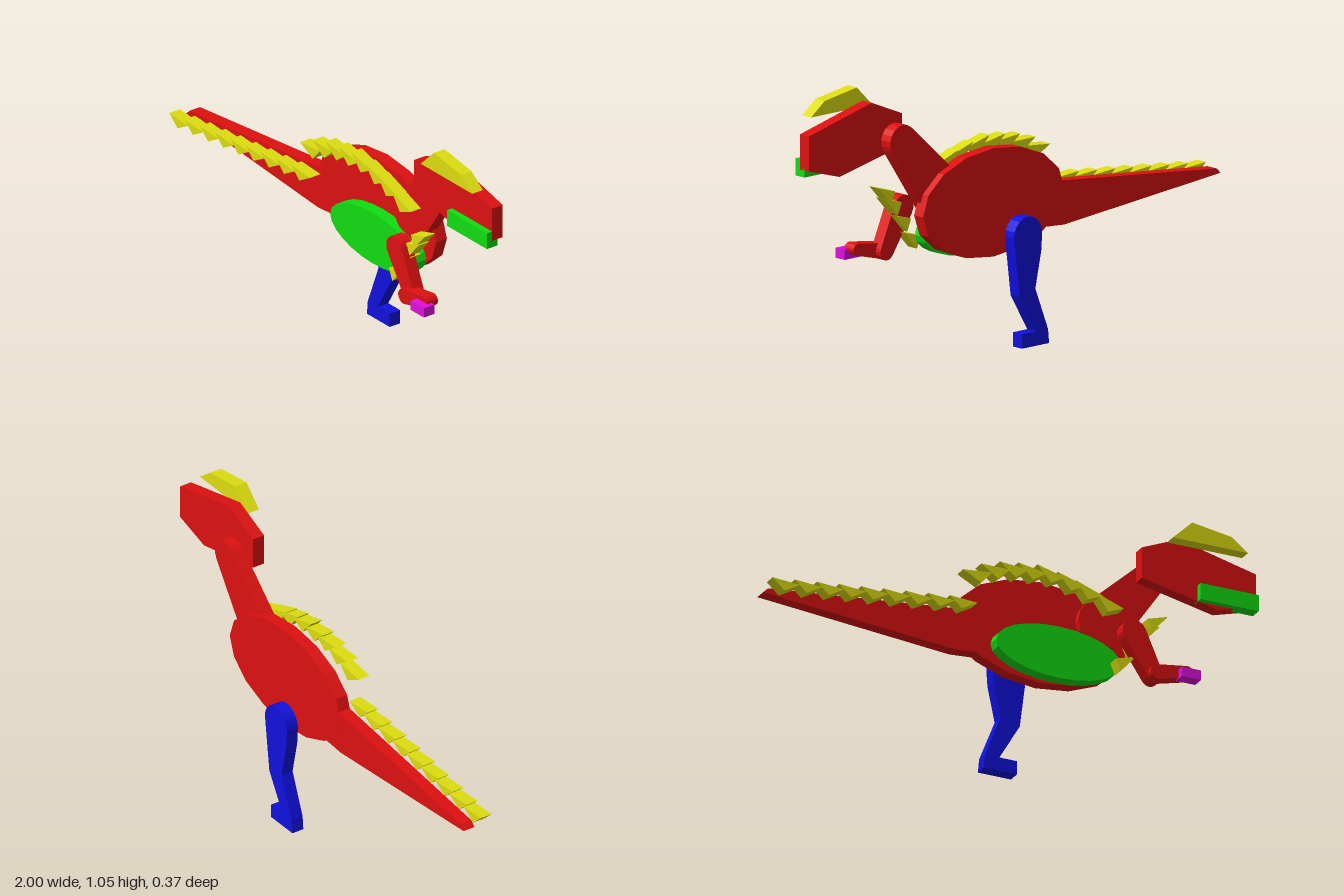
import * as THREE from 'three';

const THICK = 0.05;

function material(name, color) {
  const m = new THREE.MeshStandardMaterial({ color });
  m.name = name;
  return m;
}

// Outline of an ellipse with straight sides
function ellipse(cx, cy, rx, ry, sides) {
  return Array.from({ length: sides }, (_, i) => {
    const a = (i / sides) * Math.PI * 2;
    return [cx + rx * Math.cos(a), cy + ry * Math.sin(a)];
  });
}

// Outline of a tapered limb: two rounded ends joined by tangents
function limb(x1, y1, r1, x2, y2, r2, steps = 8) {
  const dir = Math.atan2(y2 - y1, x2 - x1);
  const open = Math.acos((r1 - r2) / Math.hypot(x2 - x1, y2 - y1));
  const points = [];
  const arc = (x, y, r, from, to) => {
    for (let i = 0; i <= steps; i++) {
      const a = from + ((to - from) * i) / steps;
      points.push([x + r * Math.cos(a), y + r * Math.sin(a)]);
    }
  };
  arc(x2, y2, r2, dir - open, dir + open);
  arc(x1, y1, r1, dir + open, dir - open + Math.PI * 2);
  return points;
}

export function createModel() {
  const group = new THREE.Group();
  group.name = 'layeredDinosaur';
  const red = material('skin red', 0xdd1010);
  const green = material('belly green', 0x10dd10);
  const yellow = material('spike yellow', 0xdddd10);
  const blue = material('leg blue', 0x1010dd);
  const magenta = material('claw magenta', 0xdd10dd);

  // Cut a flat plate from an outline, with its back face at z
  function plate(name, points, z, mat, parent = group) {
    const shape = new THREE.Shape(points.map(([x, y]) => new THREE.Vector2(x, y)));
    const geometry = new THREE.ExtrudeGeometry(shape, { depth: THICK, bevelEnabled: false });
    geometry.translate(0, 0, z);
    const mesh = new THREE.Mesh(geometry, mat);
    mesh.name = name;
    parent.add(mesh);
  }

  function subgroup(name) {
    const g = new THREE.Group();
    g.name = name;
    group.add(g);
    return g;
  }

  // Leg with foot, rounded at the hip
  const hip = Array.from({ length: 11 }, (_, i) => {
    const a = (i / 10) * Math.PI;
    return [0.077 + 0.072 * Math.cos(a), 0.43 + 0.072 * Math.sin(a)];
  });
  plate('leg', [
    ...hip, [0.01, 0.36], [0.04, 0.22], [-0.025, 0.055], [-0.03, 0],
    [0.108, 0], [0.108, 0.055], [0.035, 0.055], [0.12, 0.2],
  ], -0.18, blue);

  // Trunk and tail
  plate('body', ellipse(0.16, 0.553, 0.36, 0.208, 16), -0.08, red);
  plate('tail', [
    [-1, 0.48], [-0.2, 0.41], [-0.1, 0.417], [-0.1, 0.605], [-0.2, 0.58], [-0.98, 0.5],
  ], -0.0798, red);
  plate('neck', limb(0.4, 0.625, 0.1, 0.595, 0.85, 0.065), -0.05, red);
  plate('belly', ellipse(0.205, 0.46, 0.26, 0.106, 24), -0.025, green);

  // Spikes along the tail
  const tailSpikes = subgroup('tailSpikes');
  for (let i = 0; i < 9; i++) {
    const x = -1 + i * 0.0925, y = 0.508 + i * 0.01;
    plate('tailSpike', [[x, y], [x + 0.05, y - 0.045], [x + 0.115, y - 0.008]], 0, yellow, tailSpikes);
  }

  // Spikes over the back, turning with the curve
  const backSpikes = subgroup('backSpikes');
  const tips = [
    [-0.205, 0.706, 0.3], [-0.13, 0.745, 0.2], [-0.052, 0.77, 0.12], [0.025, 0.782, 0.03],
    [0.105, 0.79, -0.05], [0.19, 0.777, -0.1], [0.265, 0.758, -0.14], [0.35, 0.725, -0.15],
  ];
  for (const [x, y, turn] of tips) {
    const c = Math.cos(turn), s = Math.sin(turn);
    const local = [[0, 0], [0.06, -0.06], [0.12, -0.025]];
    plate('backSpike', local.map(([u, v]) => [x + u * c - v * s, y + u * s + v * c]), 0, yellow, backSpikes);
  }

  // Spikes down the chest
  const chestSpikes = subgroup('chestSpikes');
  for (const [x, y] of [[0.622, 0.658], [0.588, 0.61], [0.54, 0.54], [0.49, 0.467]]) {
    plate('chestSpike', [[x, y], [x - 0.085, y - 0.025], [x - 0.065, y - 0.072]], 0.055, yellow, chestSpikes);
  }

  // Head, jaw and crest
  plate('head', [
    [0.525, 0.81], [0.845, 0.742], [1, 0.787], [1, 0.922], [0.68, 1], [0.525, 0.935],
  ], 0.03, red);
  plate('jaw', [[0.757, 0.76], [1, 0.76], [1, 0.826], [0.757, 0.826]], 0.055, green);
  plate('crest', [[0.63, 0.977], [0.943, 0.977], [0.875, 1.029], [0.71, 1.055]], 0.08, yellow);

  // Arm and claw
  plate('upperArm', limb(0.47, 0.555, 0.05, 0.555, 0.4, 0.034), 0.08, red);
  plate('forearm', limb(0.555, 0.398, 0.03, 0.68, 0.423, 0.023), 0.105, red);
  plate('claw', [[0.64, 0.385], [0.72, 0.385], [0.72, 0.424], [0.64, 0.424]], 0.135, magenta);

  return group;
}
